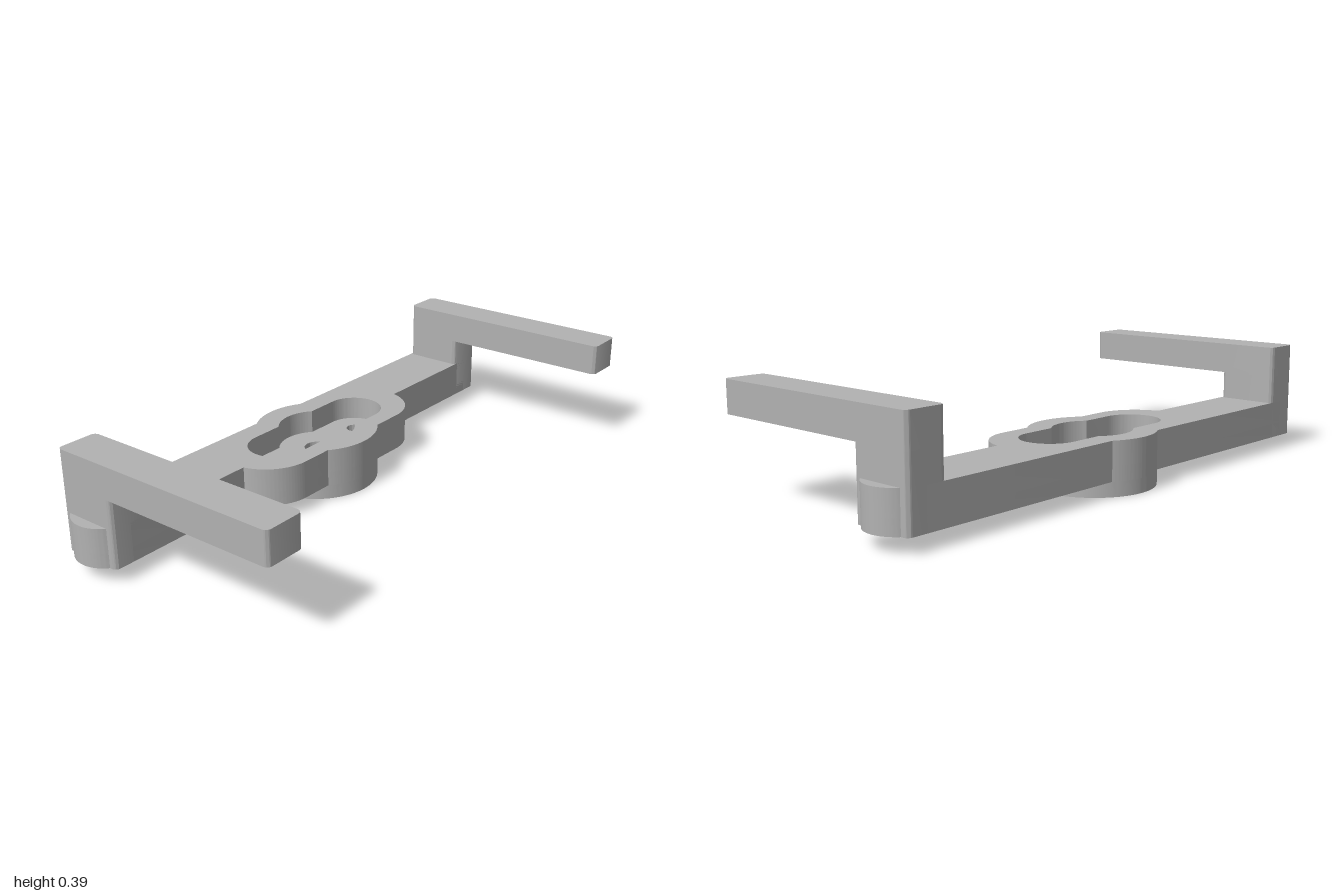
import * as THREE from 'three';
import { toCreasedNormals } from 'three/addons/utils/BufferGeometryUtils.js';

const HUB_X = -0.22;                    // hub axis
const BAR_L = -0.4, BAR_R = -0.185;     // bar sides
const PI = Math.PI;

// Extrude a plan outline upwards between two heights
function slab(shape, y0, y1) {
  const g = new THREE.ExtrudeGeometry(shape, { depth: y1 - y0, bevelEnabled: false, curveSegments: 32 });
  g.rotateX(-PI / 2);
  g.translate(0, y0, 0);
  return toCreasedNormals(g, 0.5);
}

function circle(x, y, r) {
  const p = new THREE.Path();
  p.absarc(x, y, r, 0, PI * 2, true);
  return p;
}

function roundedRect(x0, x1, y0, y1, r) {
  const s = new THREE.Shape();
  s.absarc(x1 - r, y0 + r, r, -PI / 2, 0, false);
  s.absarc(x1 - r, y1 - r, r, 0, PI / 2, false);
  s.absarc(x0 + r, y1 - r, r, PI / 2, PI, false);
  s.absarc(x0 + r, y0 + r, r, PI, PI * 1.5, false);
  s.closePath();
  return s;
}

// Bar with round ends, bulging into the hub and its two side lobes
function barOutline() {
  const capR = (BAR_R - BAR_L) / 2, capX = (BAR_R + BAR_L) / 2, capY = 1 - capR;
  const hubR = 0.215, lobeR = 0.165, lobeY = 0.25;
  const lobe = Math.acos((BAR_R - HUB_X) / lobeR);
  const right = Math.acos(lobeR / hubR);
  const left = Math.acos((HUB_X - BAR_L) / hubR);
  const s = new THREE.Shape();
  s.moveTo(BAR_R, -capY);
  s.absarc(HUB_X, -lobeY, lobeR, -lobe, 0, false);
  s.absarc(HUB_X, 0, hubR, -right, right, false);
  s.absarc(HUB_X, lobeY, lobeR, 0, lobe, false);
  s.absarc(capX, capY, capR, 0, PI, false);
  s.absarc(HUB_X, 0, hubR, PI - left, PI + left, false);
  s.absarc(capX, -capY, capR, PI, PI * 2, false);
  return s;
}

// Pocket: a wide round middle with a slot running through it
function pocketOutline() {
  const midR = 0.135, slotR = 0.1, slotY = 0.21;
  const a = Math.acos(slotR / midR);
  const p = new THREE.Path();
  p.absarc(HUB_X, -slotY, slotR, PI, PI * 2, false);
  p.absarc(HUB_X, 0, midR, -a, a, false);
  p.absarc(HUB_X, slotY, slotR, 0, PI, false);
  p.absarc(HUB_X, 0, midR, PI - a, PI + a, false);
  p.closePath();
  return p;
}

// Base disc whose rim is notched by the two screw holes
function discOutline() {
  const R = 0.215, r = 0.03, f = 2 * Math.asin(r / 2 / R);
  const s = new THREE.Shape();
  s.absarc(HUB_X, 0, R, -PI / 2 + f, PI / 2 - f, false);
  s.absarc(HUB_X, R, r, -f / 2, -PI + f / 2, true);
  s.absarc(HUB_X, 0, R, PI / 2 + f, PI * 1.5 - f, false);
  s.absarc(HUB_X, -R, r, PI - f / 2, f / 2, true);
  s.closePath();
  s.holes.push(circle(HUB_X, 0, 0.045));
  return s;
}

export function createModel() {
  const model = new THREE.Group();
  model.name = 'bracket';
  const grey = new THREE.MeshStandardMaterial({ color: 0xb2b2b2 });
  grey.name = 'grey';
  const add = (name, geometry, parent = model) => {
    const mesh = new THREE.Mesh(geometry, grey);
    mesh.name = name;
    parent.add(mesh);
  };

  add('baseDisc', slab(discOutline(), 0, 0.05));

  // Lower layer forms the pocket floor with its holes
  const floor = barOutline();
  floor.holes.push(circle(HUB_X, 0, 0.045), circle(HUB_X, 0.215, 0.03), circle(HUB_X, -0.215, 0.03));
  add('barFloor', slab(floor, 0.05, 0.1));

  // Upper layer forms the pocket walls
  const rim = barOutline();
  rim.holes.push(pocketOutline());
  add('barRim', slab(rim, 0.1, 0.182));

  // A post and a long arm at each end
  for (const [side, s] of [['front', 1], ['back', -1]]) {
    const end = new THREE.Group();
    end.name = side + 'End';
    const y0 = s > 0 ? -0.963 : 0.822, y1 = y0 + 0.141;
    add(side + 'Post', slab(roundedRect(BAR_L, BAR_R, y0, y1, 0.018), 0.05, 0.28), end);
    add(side + 'Arm', slab(roundedRect(BAR_L, 0.432, y0, y1, 0.018), 0.28, 0.389), end);
    model.add(end);
  }
  return model;
}
